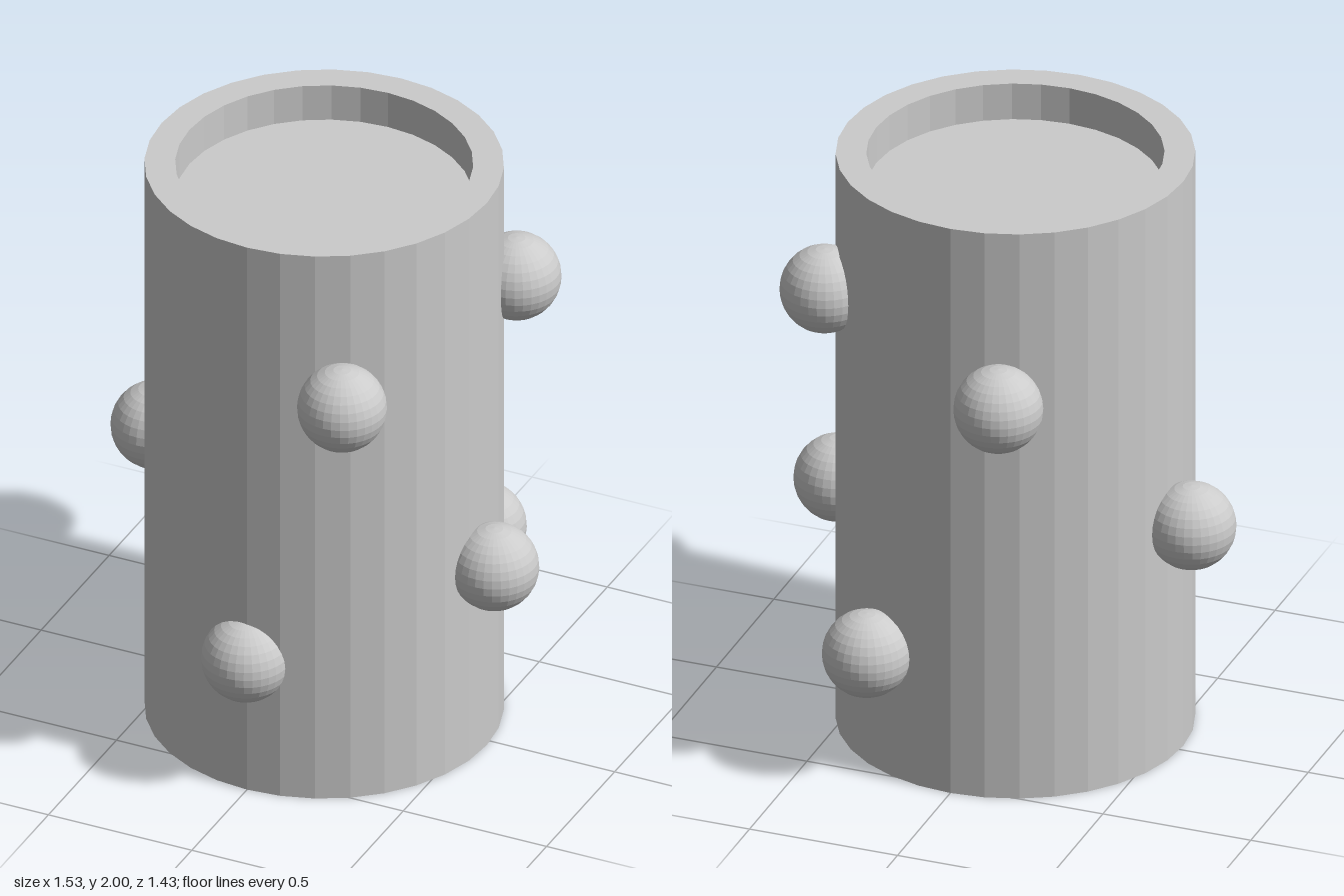
import * as THREE from 'three';

export function createModel() {
  const group = new THREE.Group();
  const material = new THREE.MeshStandardMaterial({ color: 0xcccccc, flatShading: true });
  const centerZ = 0.027, outer = 0.567, inner = 0.47, height = 2, recess = 0.126;

  // Upright cylinder with a shallow round recess in its top
  const profile = [
    [0, 0], [outer, 0], [outer, height], [inner, height], [inner, height - recess], [0, height - recess],
  ].map(([r, y]) => new THREE.Vector2(r, y));
  const body = new THREE.Mesh(new THREE.LatheGeometry(profile, 32), material);
  body.name = 'cylinderBody';
  body.position.z = centerZ;
  group.add(body);

  // Balls half sunk into the wall at scattered heights
  const ballGeometry = new THREE.SphereGeometry(0.142, 32, 16);
  const balls = [
    [0.32, 1.48, 0.57],
    [-0.015, 0.47, 0.57],
    [0.62, 0.705, 0.083],
    [0.53, 1.56, -0.27],
    [0.288, 0.435, -0.525],
    [-0.175, 1.41, -0.573],
    [-0.625, 0.83, -0.05],
  ];
  balls.forEach(([x, y, z], i) => {
    const ball = new THREE.Mesh(ballGeometry, material);
    ball.name = `ball${i + 1}`;
    ball.position.set(x, y, z);
    group.add(ball);
  });

  return group;
}
